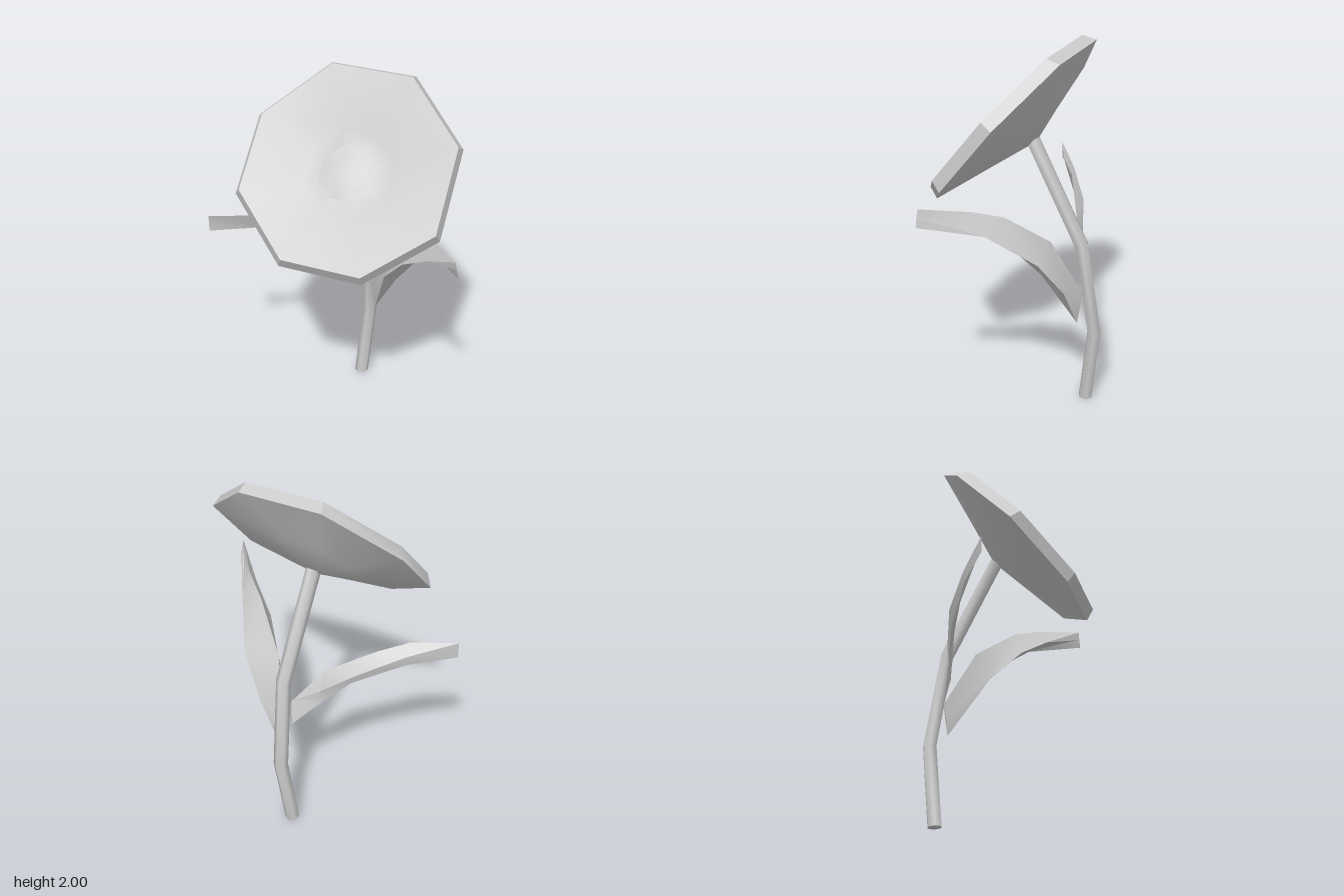
import * as THREE from 'three';
import { toCreasedNormals } from 'three/addons/utils/BufferGeometryUtils.js';

const V = (x, y, z) => new THREE.Vector3(x, y, z);

// Skin a list of closed sections (equal-length arrays of points)
function loft(sections, crease) {
  const n = sections[0].length, pos = [];
  const tri = (a, b, c) => {
    const area = b.clone().sub(a).cross(c.clone().sub(a)).length();
    if (area > 1e-7) for (const p of [a, b, c]) pos.push(p.x, p.y, p.z);
  };
  for (let i = 0; i < sections.length - 1; i++) {
    const s = sections[i], t = sections[i + 1];
    for (let j = 0; j < n; j++) {
      const k = (j + 1) % n;
      tri(s[j], s[k], t[j]);
      tri(s[k], t[k], t[j]);
    }
  }
  const geo = new THREE.BufferGeometry();
  geo.setAttribute('position', new THREE.Float32BufferAttribute(pos, 3));
  return toCreasedNormals(geo, crease);
}

export function createModel() {
  const group = new THREE.Group();
  const grey = new THREE.MeshStandardMaterial({ color: 0xcccccc, side: THREE.DoubleSide });
  grey.name = 'lightGrey';
  const add = (name, geo) => {
    const mesh = new THREE.Mesh(geo, grey);
    mesh.name = name;
    group.add(mesh);
  };

  // Blossom: an uneven octagon, scaled and pushed back along its axis
  const centre = V(0.06, 1.596, 0.09), axis = V(0.106, 0.65, 0.753).normalize();
  const rim = [
    V(-0.17, 2.0, -0.22), V(0.25, 1.985, -0.26), V(0.56, 1.74, -0.1), V(0.57, 1.4, 0.18),
    V(0.28, 1.215, 0.41), V(-0.13, 1.23, 0.45), V(-0.45, 1.46, 0.28), V(-0.46, 1.76, 0.0),
  ];
  const ring = (scale, depth, dx = 0) => rim.map(p =>
    p.clone().sub(centre).multiplyScalar(scale).add(centre).addScaledVector(axis, -depth).add(V(dx, 0, 0)));
  add('blossom', loft([
    ring(0, 0.065, -0.03), ring(0.15, 0.07, -0.02), ring(0.27, 0.088, -0.02), ring(0.42, 0.06),
    ring(1, 0), ring(1.05, 0.065, -0.012), ring(0.46, 0.14, -0.02), ring(0, 0.2, -0.04),
  ], 0.65));

  // Bent stem, six-sided with smooth sides
  const path = [V(-0.05, 0.003, -0.355), V(-0.025, 0.44, -0.41), V(0, 0.95, -0.335), V(0.015, 1.48, -0.05)];
  const stemRing = (p, tilt, r) => Array.from({ length: 6 }, (_, j) => {
    const a = j * Math.PI / 3;
    return V(Math.sin(a) * r, 0, Math.cos(a) * r).applyAxisAngle(V(1, 0, 0), tilt).add(p);
  });
  const tilts = [-0.08, 0.01, 0.32, 0.5];
  const rings = path.map((p, i) => stemRing(p, tilts[i], 0.039));
  add('stem', loft([stemRing(path[0], tilts[0], 0), ...rings, stemRing(path[3], tilts[3], 0)], 1.15));

  // Leaves: triangular sections, each running upper edge, keel, lower edge
  add('leftLeaf', loft([
    [V(0.0, 0.67, -0.35), V(0.02, 0.59, -0.34), V(0.04, 0.51, -0.34)],
    [V(0.12, 0.99, -0.22), V(0.17, 0.86, -0.15), V(0.17, 0.74, -0.33)],
    [V(0.34, 1.18, -0.08), V(0.32, 1.05, -0.03), V(0.32, 0.95, -0.26)],
    [V(0.49, 1.245, 0.01), V(0.49, 1.17, 0.06), V(0.49, 1.13, -0.06)],
    [V(0.68, 1.29, 0.19), V(0.69, 1.245, 0.19), V(0.7, 1.2, 0.19)],
  ], 0.5));
  // Here the third point is the back edge, joined to the upper edge at both ends
  add('rightLeaf', loft([
    [V(-0.02, 0.8, -0.3), V(-0.04, 0.67, -0.325), V(-0.02, 0.8, -0.3)],
    [V(-0.17, 1.02, -0.21), V(-0.17, 0.83, -0.24), V(-0.17, 0.91, -0.25)],
    [V(-0.39, 1.15, -0.056), V(-0.3, 0.97, -0.165), V(-0.34, 1.04, -0.16)],
    [V(-0.505, 1.185, 0.06), V(-0.52, 1.08, 0.01), V(-0.52, 1.135, 0)],
    [V(-0.71, 1.195, 0.185), V(-0.71, 1.105, 0.185), V(-0.71, 1.195, 0.185)],
  ], 0.5));

  return group;
}
